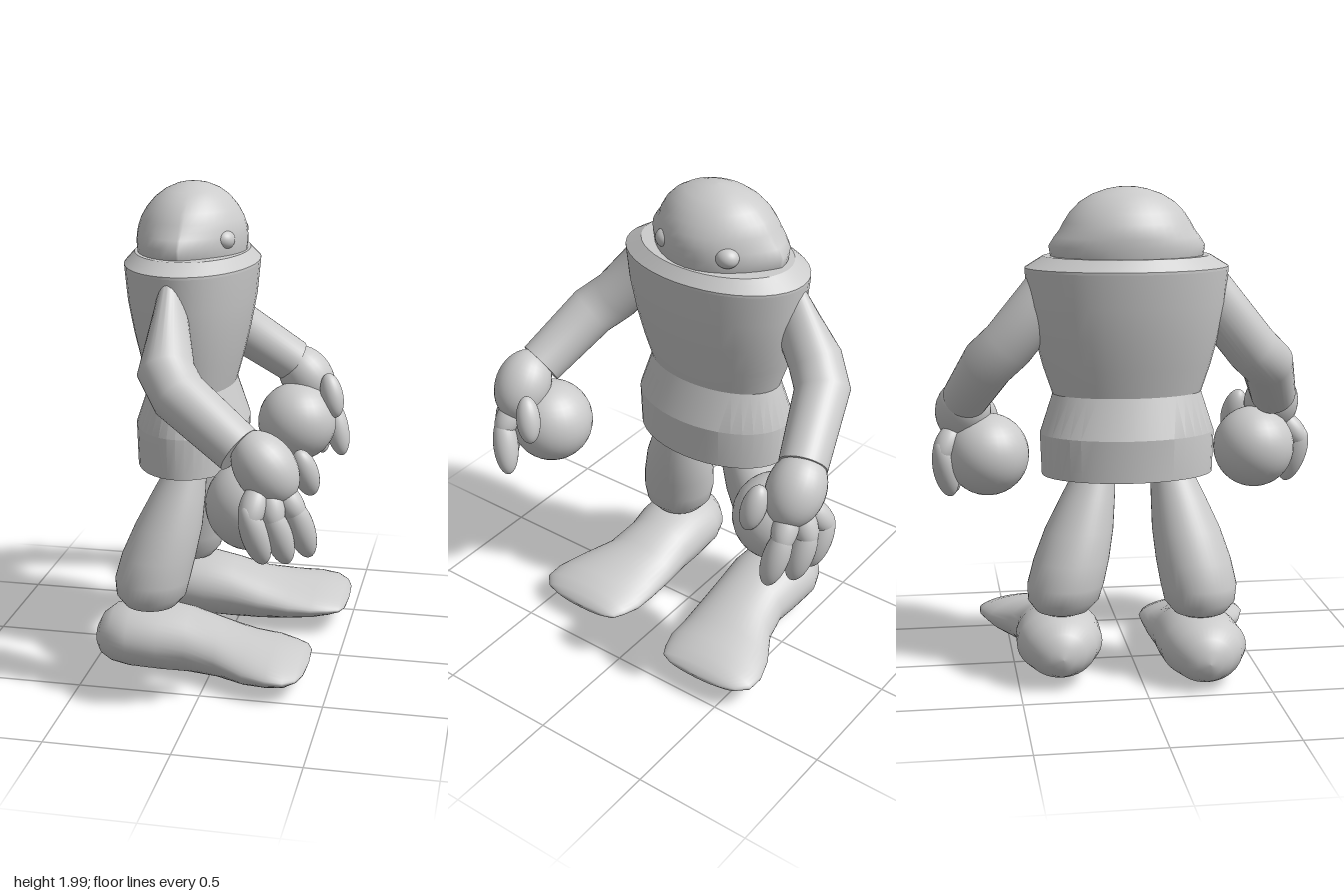
import * as THREE from 'three';
import { toCreasedNormals } from 'three/addons/utils/BufferGeometryUtils.js';

const V = (x, y, z) => new THREE.Vector3(x, y, z);
const N = 40;
const material = new THREE.MeshStandardMaterial({ color: 0xcccccc });

// Closed loop of N points from a rule of the angle
const ring = (rule) => Array.from({ length: N }, (_, i) => {
  const a = (i / N) * Math.PI * 2;
  return rule(Math.cos(a), Math.sin(a));
});
const power = (s, p) => Math.sign(s) * Math.abs(s) ** p;

// Skin a row of loops; a crease angle keeps sharp edges
function loft(rings, crease) {
  const index = [];
  for (let i = 0; i < rings.length - 1; i++) {
    for (let j = 0; j < N; j++) {
      const a = i * N + j, b = i * N + (j + 1) % N;
      index.push(a, a + N, b, b, a + N, b + N);
    }
  }
  const g = new THREE.BufferGeometry().setFromPoints(rings.flat());
  g.setIndex(index);
  g.computeVertexNormals();
  return crease ? toCreasedNormals(g, crease) : g;
}

function add(parent, name, geometry) {
  const mesh = new THREE.Mesh(geometry, material);
  mesh.name = name;
  parent.add(mesh);
  return mesh;
}

// Ellipsoid whose long axis (y) may be turned towards a direction
function blob(parent, name, pos, radii, axis = V(0, 1, 0)) {
  const mesh = add(parent, name, new THREE.SphereGeometry(1, 28, 20));
  mesh.position.copy(pos);
  mesh.scale.set(...radii);
  mesh.quaternion.setFromUnitVectors(V(0, 1, 0), axis.clone().normalize());
}

// Move each point along a direction until it lies on a plane
const slide = (points, dir, at, normal) => points.map((p) => {
  const t = at.clone().sub(p).dot(normal) / dir.dot(normal);
  return p.clone().addScaledVector(dir, t);
});

// Sleeve with mitred bends along a path, narrow where it leaves the shoulder
function sleeve(path, r) {
  const dirs = path.slice(1).map((p, i) => p.clone().sub(path[i]).normalize());
  const e1 = V(1, 0, 0).addScaledVector(dirs[0], -dirs[0].x).normalize();
  const e2 = e1.clone().cross(dirs[0]);
  const section = (k) => ring((c, s) => path[0].clone()
    .addScaledVector(e1, c * r * k).addScaledVector(e2, s * r));
  const rings = [ring(() => path[0].clone()), section(0.45)];
  let last = section(1);
  dirs.forEach((d, i) => {
    const next = dirs[i + 1];
    last = slide(last, d, path[i + 1], next ? d.clone().add(next) : d);
    rings.push(next ? last : last.map((p) => p.clone().lerp(path.at(-1), 0.1)));
  });
  rings.push(ring(() => path.at(-1).clone()));
  return loft(rings, 0.75);
}

const CX = -0.135, CZ = -0.038;

export function createModel() {
  const model = new THREE.Group();
  model.name = 'figure';

  // Oval body: [y, half depth x, half width z]; front may be more tapered
  const oval = ([y, rx, rz], front = 1) =>
    ring((c, s) => V(CX + power(c, c > 0 ? front : 1) * rx, y, CZ + s * rz));
  const band = (name, rows) => add(model, name, loft(rows.map((r) => oval(r)), 0.35));
  band('hips', [[0.85, 0, 0], [0.85, 0.225, 0.348], [1.02, 0.23, 0.354], [1.18, 0.175, 0.302], [1.18, 0, 0]]);
  band('torso', [[1.18, 0, 0], [1.18, 0.175, 0.302], [1.29, 0.205, 0.339], [1.41, 0.233, 0.371],
    [1.54, 0.257, 0.395], [1.675, 0.27, 0.408]]);
  band('collar', [[1.675, 0.27, 0.408], [1.685, 0.27, 0.408], [1.73, 0.23, 0.335], [1.73, 0, 0]]);

  // Domed head over a face that tapers towards both sides
  const headRows = [[1.7, 0.215, 0.29], [1.73, 0.22, 0.306], [1.77, 0.223, 0.312], [1.805, 0.221, 0.29],
    [1.83, 0.217, 0.27], [1.86, 0.207, 0.254], [1.9, 0.184, 0.228], [1.94, 0.15, 0.188], [1.97, 0.11, 0.138],
    [1.99, 0.065, 0.08], [1.998, 0.03, 0.036], [2, 0, 0]];
  add(model, 'head', loft(headRows.map((r, i) => oval(r, 1.8 - 0.8 * THREE.MathUtils.clamp((i - 2) / 6, 0, 1)))));
  for (const side of [-1, 1]) {
    blob(model, side > 0 ? 'leftEye' : 'rightEye', V(0.017, 1.79, -0.05 + side * 0.143), [0.045, 0.041, 0.049]);
  }

  // Legs: [y, centre x, centre z, radius]
  const legRows = [[0.26, -0.26, 0.245, 0], [0.265, -0.26, 0.245, 0.05], [0.29, -0.26, 0.245, 0.108],
    [0.335, -0.257, 0.244, 0.144], [0.4, -0.252, 0.24, 0.155], [0.5, -0.228, 0.222, 0.153],
    [0.62, -0.192, 0.197, 0.139], [0.75, -0.155, 0.168, 0.11], [0.88, -0.12, 0.138, 0.077]];
  // Feet: [x, centre z, half width, bottom, top]
  const footRows = [[-0.49, 0.25, 0, 0.13, 0.13], [-0.483, 0.25, 0.05, 0.085, 0.18], [-0.46, 0.25, 0.095, 0.052, 0.228],
    [-0.41, 0.25, 0.142, 0.03, 0.268], [-0.33, 0.25, 0.174, 0.02, 0.286], [-0.2, 0.245, 0.174, 0.012, 0.288],
    [-0.09, 0.24, 0.165, 0.008, 0.268], [0.04, 0.25, 0.18, 0.008, 0.225], [0.17, 0.285, 0.215, 0.013, 0.192],
    [0.27, 0.3, 0.23, 0.025, 0.178], [0.34, 0.31, 0.218, 0.042, 0.158], [0.385, 0.3, 0.185, 0.062, 0.135],
    [0.405, 0.29, 0.13, 0.08, 0.115], [0.413, 0.29, 0, 0.1, 0.1]];

  for (const side of [1, -1]) {
    const far = side < 0 ? 1 : 0;
    const name = far ? 'right' : 'left';
    add(model, name + 'Leg', loft(legRows.map(([y, cx, cz, r]) => {
      const drop = far * (0.9 - y) / 0.6;
      return ring((c, s) => V(cx + drop * 0.035 + c * r, y + drop * 0.018,
        side * cz - far * 0.02 - drop * 0.05 + s * r));
    })));
    add(model, name + 'Foot', loft(footRows.map(([x, cz, w, lo, hi], i) => {
      const toe = THREE.MathUtils.clamp((i - 5) / 4, 0, 1);
      const z = side * cz - far * (0.08 + 0.015 * toe);
      return ring((c, s) => V(x + far * 0.08,
        far * 0.02 + (lo + hi) / 2 + power(s, 1 + 0.25 * toe) * (hi - lo) / 2, z + c * w));
    })));
  }

  // Arms, hands and the balls they hold
  const arms = [
    { name: 'left', path: [V(-0.15, 1.6, 0.27), V(-0.13, 1.345, 0.475), V(-0.06, 1.27, 0.555), V(0.187, 1.1, 0.64)],
      palm: V(0.29, 1.04, 0.655), ball: V(0.22, 0.862, 0.565), thumb: V(0.42, 0.985, 0.515),
      fingers: [V(0.425, 0.81, 0.65), V(0.35, 0.8, 0.71), V(0.27, 0.81, 0.755)], curl: V(0.25, -1, -0.28) },
    { name: 'right', path: [V(-0.155, 1.6, -0.34), V(-0.133, 1.38, -0.515), V(-0.075, 1.3, -0.59), V(0.18, 1.115, -0.675)],
      palm: V(0.24, 1.045, -0.685), ball: V(0.215, 0.862, -0.585), thumb: V(0.37, 0.99, -0.58),
      fingers: [V(0.38, 0.81, -0.695), V(0.285, 0.8, -0.75), V(0.185, 0.81, -0.765)], curl: V(0.25, -1, 0.18) },
  ];
  for (const arm of arms) {
    const g = new THREE.Group();
    g.name = arm.name + 'Arm';
    model.add(g);
    add(g, 'sleeve', sleeve(arm.path, 0.108));
    blob(g, 'palm', arm.palm, [0.115, 0.153, 0.118], V(0.09, -0.12, 0));
    for (const f of arm.fingers) {
      const knuckle = f.clone().addScaledVector(arm.curl, -0.07);
      blob(g, 'finger', f, [0.053, 0.13, 0.053], arm.curl);
      blob(g, 'knuckle', arm.palm.clone().lerp(knuckle, 0.75), [0.052, 0.095, 0.052], knuckle.clone().sub(arm.palm));
    }
    blob(g, 'thumb', arm.thumb, [0.05, 0.1, 0.05], arm.curl);
    blob(g, 'ball', arm.ball, [0.175, 0.175, 0.175]);
  }
  return model;
}
